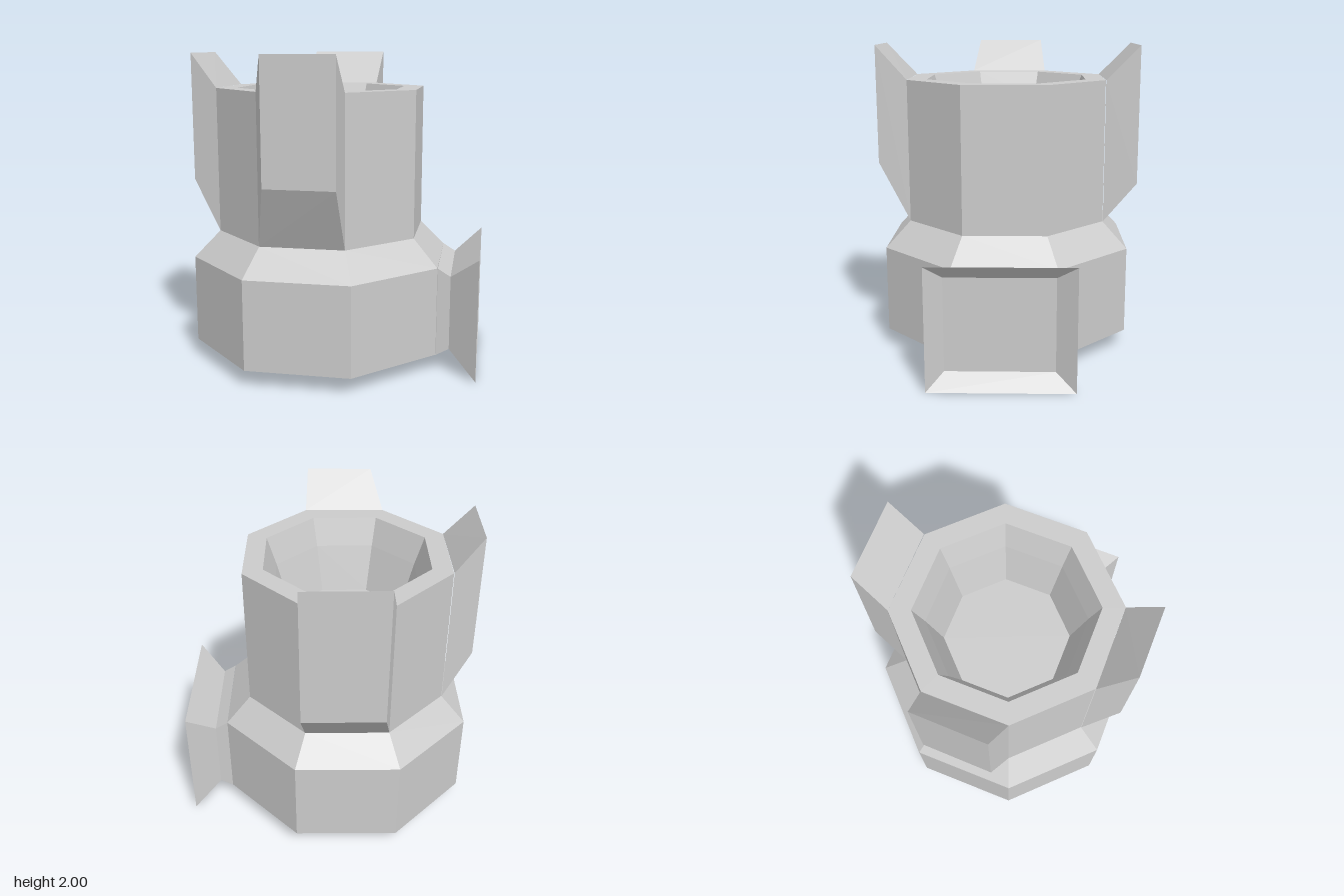
import * as THREE from 'three';

const material = new THREE.MeshStandardMaterial({ color: 0xcccccc, flatShading: true });
const CENTRE_X = -0.14;

// Eight-sided turned part from [radius, y] pairs, outside listed upwards
function turned(name, profile) {
  const points = profile.map(([r, y]) => new THREE.Vector2(r, y));
  const mesh = new THREE.Mesh(new THREE.LatheGeometry(points, 8), material);
  mesh.position.x = CENTRE_X;
  mesh.name = name;
  return mesh;
}

// Upright four-cornered section, seen from outside: left [x, z], right [x, z]
function section(left, right, bottom, top) {
  return [
    [left[0], bottom, left[1]], [right[0], bottom, right[1]],
    [right[0], top, right[1]], [left[0], top, left[1]],
  ];
}

// Skin over successive sections, closed at the last one
function loft(name, sections) {
  const positions = [];
  const quad = (a, b, c, d) => positions.push(...a, ...b, ...c, ...a, ...c, ...d);
  for (let k = 0; k < sections.length - 1; k++) {
    const a = sections[k], b = sections[k + 1];
    for (let i = 0; i < 4; i++) {
      const j = (i + 1) % 4;
      quad(a[i], a[j], b[j], b[i]);
    }
  }
  quad(...sections[sections.length - 1]);
  const geometry = new THREE.BufferGeometry();
  geometry.setAttribute('position', new THREE.Float32BufferAttribute(positions, 3));
  geometry.computeVertexNormals();
  const mesh = new THREE.Mesh(geometry, material);
  mesh.name = name;
  return mesh;
}

export function createModel() {
  const model = new THREE.Group();
  model.name = 'octagonalTower';

  // Wide base with a grooved underside and sloping shoulder
  model.add(turned('base', [
    [0, 0.06], [0.46, 0.06], [0.66, 0.18], [0.86, 0.11], [0.86, 0.68], [0.69, 0.85],
  ]));

  // Column with a stepped, tapering bore
  model.add(turned('column', [
    [0.69, 0.85], [0.69, 1.78], [0.555, 1.78], [0.49, 1.6], [0.4, 1.3], [0, 1.3],
  ]));

  // Three fins leaning out from the column faces
  const fins = [
    { name: 'frontFin', base: [[-0.63, 0.49], [-0.14, 0.69]], tip: [[-0.63, 0.70], [-0.23, 0.87]], low: 1.24 },
    { name: 'rightFin', base: [[-0.63, -0.49], [-0.83, 0]], tip: [[-0.80, -0.53], [-0.98, -0.11]], low: 1.18 },
    { name: 'backFin', base: [[0.35, -0.49], [-0.14, -0.69]], tip: [[0.45, -0.68], [-0.02, -0.87]], low: 1.11 },
  ];
  for (const { name, base, tip, low } of fins) {
    model.add(loft(name, [section(...base, 0.85, 1.78), section(...tip, low, 2)]));
  }

  // Side panel: neck, flared back, rim and recessed face
  model.add(loft('sidePanel', [
    section([0.47, 0.61], [0.72, 0], 0.11, 0.68),
    section([0.545, 0.64], [0.795, 0.03], 0.155, 0.63),
    section([0.655, 0.83], [1, 0], 0, 0.78),
    section([0.617, 0.70], [0.875, 0.08], 0.1, 0.69),
  ]));

  return model;
}
